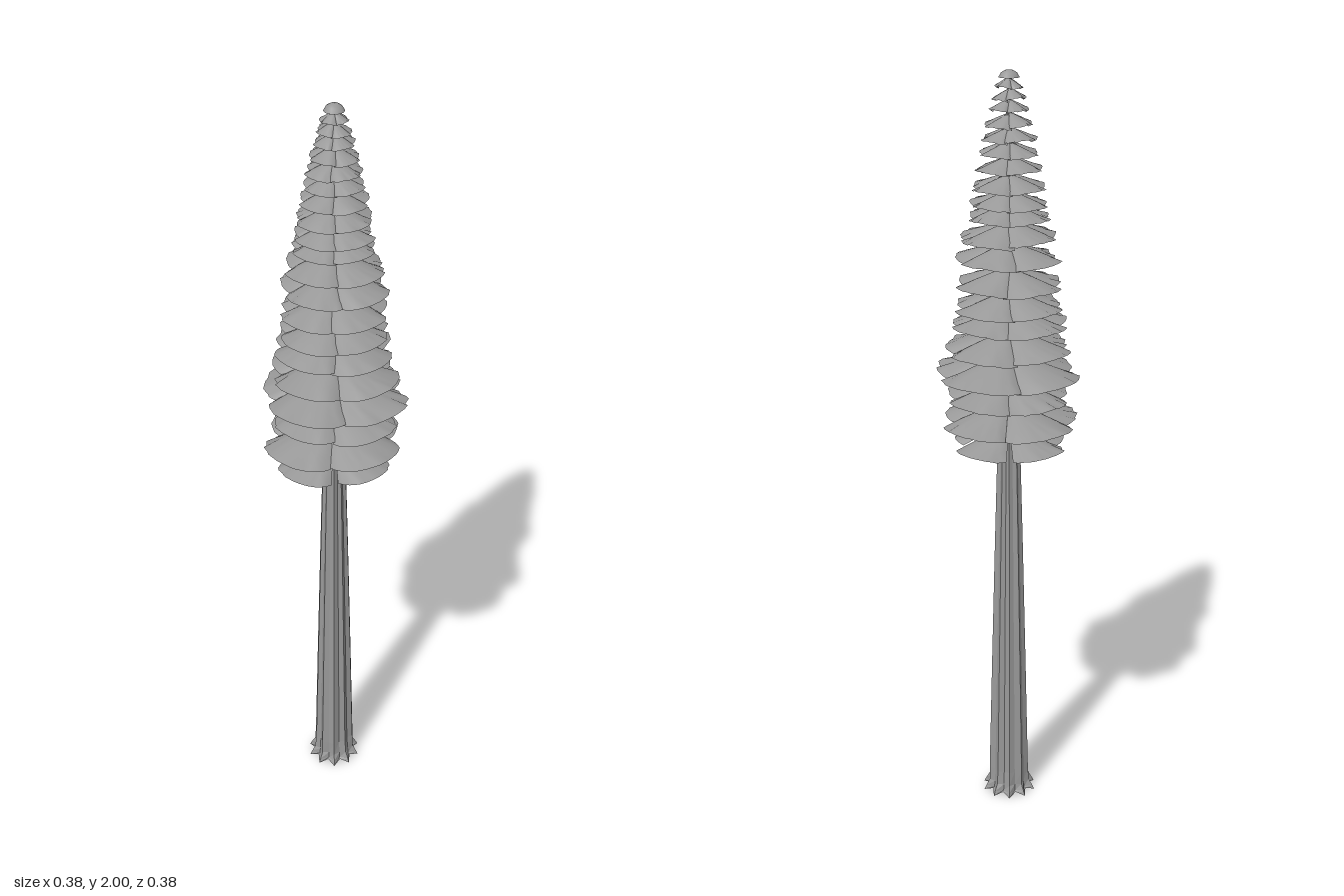
import * as THREE from 'three';

const grey = new THREE.MeshStandardMaterial({ color: 0x999999, side: THREE.DoubleSide });
grey.name = 'plain grey';

// Small seeded random source
function seeded(seed) {
  return () => {
    seed = (seed * 16807) % 2147483647;
    return seed / 2147483647;
  };
}

// Fluted trunk: radius by height, pinched into grooves, with ragged roots
function makeTrunk() {
  const profile = [
    [0, 0.074], [0.012, 0.068], [0.03, 0.058], [0.07, 0.056], [0.4, 0.048],
    [0.75, 0.039], [1.0, 0.032], [1.3, 0.027], [1.6, 0.019], [1.85, 0.01], [1.99, 0.004],
  ];
  const geo = new THREE.CylinderGeometry(1, 1, 1, 20, profile.length - 1);
  const pos = geo.attributes.position;
  for (let i = 0; i < pos.count; i++) {
    const level = Math.round((pos.getY(i) + 0.5) * (profile.length - 1));
    const [y, r] = profile[level];
    const x = pos.getX(i), z = pos.getZ(i);
    const a = Math.atan2(z, x);
    const groove = 1 + (level < 2 ? 0.12 : 0.07) * (Math.cos(a * 10) - 1)
      + 0.04 * Math.sin(a * 3 + 1) * (level > 2 ? 1 : 0);
    const lift = level === 0 && Math.cos(a * 10) < 0 && Math.hypot(x, z) > 0.5 ? 0.009 : 0;
    pos.setXYZ(i, x * r * groove, y + lift, z * r * groove);
  }
  const flat = geo.toNonIndexed();
  flat.computeVertexNormals();
  const mesh = new THREE.Mesh(flat, grey);
  mesh.name = 'trunk';
  return mesh;
}

// One drooping fan bough, bowed across its width, with a ragged rim
function makeBough(reach, drop, halfAngle, rand) {
  const cols = 16, rows = 4;
  const geo = new THREE.PlaneGeometry(2, 1, cols, rows);
  const pos = geo.attributes.position;
  const jag = Array.from({ length: cols + 1 }, () => rand() - 0.5);
  for (let i = 0; i < pos.count; i++) {
    const u = pos.getX(i), v = 0.5 - pos.getY(i);
    const col = i % (cols + 1);
    const rim = reach * (1 - 0.24 * Math.abs(u) ** 3 + (v > 0.9 ? jag[col] * 0.06 : 0));
    const r = 0.004 + (rim - 0.004) * v;
    const a = u * halfAngle;
    const y = drop * (1 - v ** 1.15) - drop * 0.3 * u * u * v
      + (v > 0.9 ? jag[col] * drop * 0.15 : 0);
    pos.setXYZ(i, Math.cos(a) * r, y, Math.sin(a) * r);
  }
  // reverse the winding so the upper side is the front
  const index = geo.index;
  for (let i = 0; i < index.count; i += 3) {
    const b = index.getX(i + 1);
    index.setX(i + 1, index.getX(i + 2));
    index.setX(i + 2, b);
  }
  geo.computeVertexNormals();
  return new THREE.Mesh(geo, grey);
}

export function createModel() {
  const model = new THREE.Group();
  model.name = 'conifer';
  model.add(makeTrunk());

  // Foliage tiers: rim height, reach
  const tiers = [
    [1.04, 0.16], [1.105, 0.193], [1.17, 0.175], [1.235, 0.197], [1.30, 0.177],
    [1.365, 0.16], [1.41, 0.15], [1.47, 0.145], [1.535, 0.142], [1.59, 0.133],
    [1.64, 0.11], [1.675, 0.104], [1.715, 0.1], [1.76, 0.092], [1.80, 0.08],
    [1.835, 0.073], [1.87, 0.067], [1.905, 0.053], [1.935, 0.045], [1.96, 0.036],
  ];
  const rand = seeded(4127);
  tiers.forEach(([y, reach], t) => {
    const tier = new THREE.Group();
    tier.name = `foliageTier${t + 1}`;
    const drop = 0.012 + reach * 0.2;
    const turn = THREE.MathUtils.degToRad(63) + (rand() - 0.5) * 0.4 * (t > 0 ? 1 : 0);
    const halfAngle = THREE.MathUtils.degToRad(t === 0 ? 41 : Math.min(50, 44 + t));
    for (let k = 0; k < 4; k++) {
      const bough = makeBough(reach * (0.95 + rand() * 0.06), drop, halfAngle, rand);
      bough.name = 'bough';
      bough.rotation.y = -(turn + k * Math.PI / 2);
      bough.position.y = (rand() - 0.5) * 0.006;
      tier.add(bough);
    }
    tier.position.y = y;
    model.add(tier);
  });

  // Rounded tip
  const cap = new THREE.Mesh(new THREE.LatheGeometry([
    new THREE.Vector2(0.026, 1.982), new THREE.Vector2(0.02, 1.993),
    new THREE.Vector2(0.01, 1.999), new THREE.Vector2(0, 2),
  ], 10), grey);
  cap.name = 'tip';
  model.add(cap);
  return model;
}
